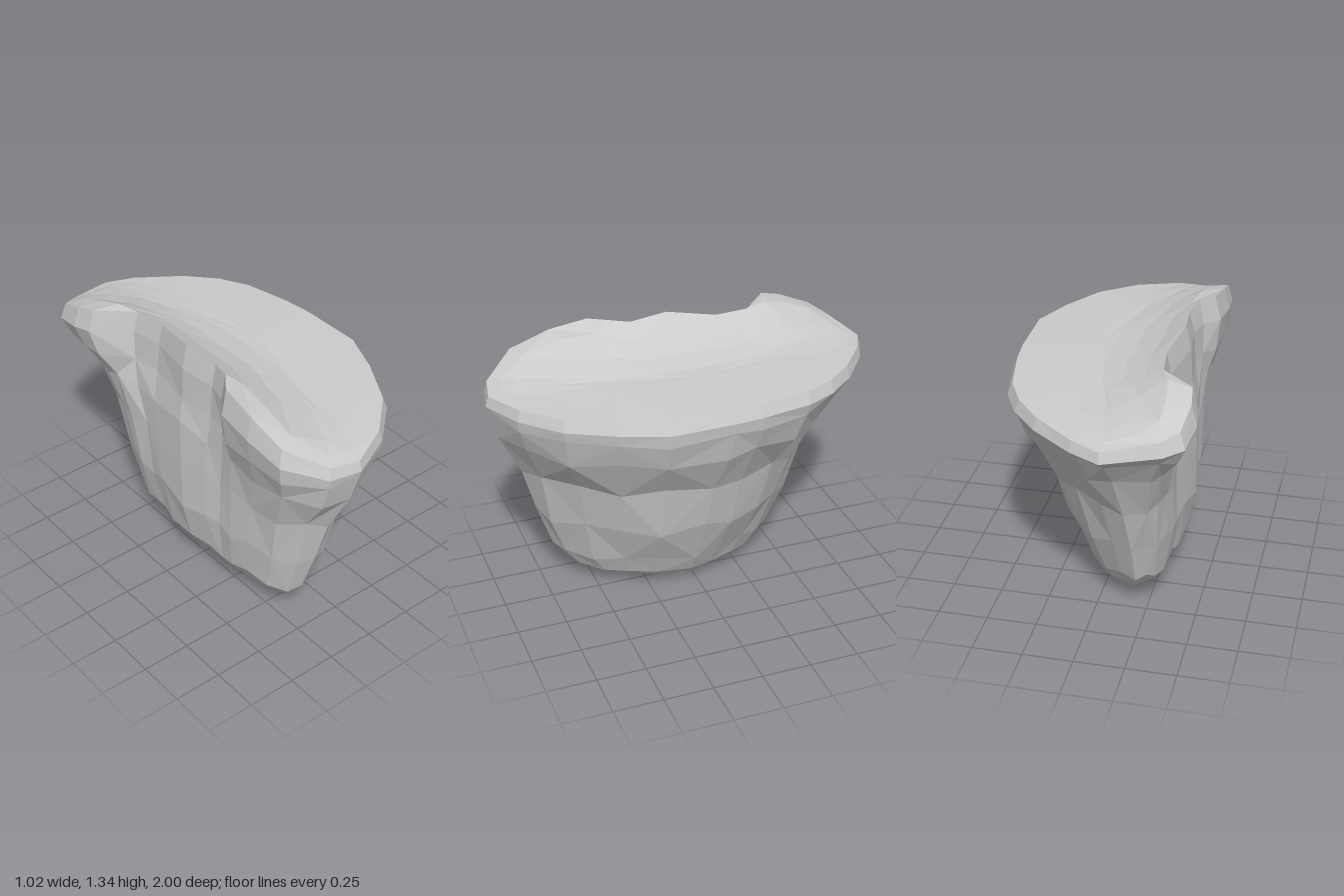
import * as THREE from 'three';

// Kidney-shaped rim and the fuller D-shaped waist, as matching [x, z] loops from the back round the left side
const rim = [[-0.13, -1], [0.02, -0.93], [0.23, -0.77], [0.36, -0.62], [0.44, -0.46], [0.49, -0.2], [0.505, -0.05],
  [0.51, 0.28], [0.42, 0.5], [0.29, 0.73], [0.1, 0.9], [-0.12, 1], [-0.28, 0.97], [-0.44, 0.81], [-0.455, 0.6],
  [-0.44, 0.4], [-0.37, 0.31], [-0.34, 0.2], [-0.36, 0], [-0.31, -0.26], [-0.33, -0.44], [-0.5, -0.59],
  [-0.515, -0.7], [-0.49, -0.86], [-0.4, -0.92]];
const waist = [[-0.2, -0.63], [-0.1, -0.6], [0.02, -0.52], [0.12, -0.42], [0.2, -0.3], [0.26, -0.13], [0.29, 0.02],
  [0.27, 0.25], [0.18, 0.42], [0.07, 0.58], [-0.07, 0.72], [-0.17, 0.77], [-0.25, 0.73], [-0.315, 0.62], [-0.35, 0.48],
  [-0.365, 0.36], [-0.36, 0.27], [-0.38, 0.18], [-0.4, 0.02], [-0.38, -0.18], [-0.36, -0.28], [-0.36, -0.38],
  [-0.345, -0.46], [-0.31, -0.55], [-0.26, -0.6]];

const lerp = THREE.MathUtils.lerp;

// Height of the top face: rises towards the hollow side, drops at both ends
function topY(x, z) {
  const rise = x < 0.08 ? Math.min(0.9 * (0.08 - x) ** 2, 0.165) : -0.03 * (x - 0.08);
  return 1.182 + rise * (1 - 1.1 * Math.abs(z) ** 3) - 0.045 * z * z;
}

// Point on the top face, pulled by t towards the curved spine of the kidney
function topPoint([x, z], t) {
  const sz = z * 0.75;
  const px = lerp(x, 0.08 - 0.35 * sz * sz, t), pz = lerp(z, sz, t);
  return [px, topY(px, pz), pz];
}

function buildRings() {
  const rings = [0.9, 0.6, 0.3, 0.06].map((t) => rim.map((p) => topPoint(p, t)));
  // Widest edge, just under the top
  rings.push(rim.map(([x, z]) => [x, lerp(1.07, topY(x, z) - 0.04, 0.6), z]));
  // Flared sides: [height, blend to waist, blend at the back, blend on the hollow side, unevenness]
  const flare = [[1.04, 0.04, 0.14, 0.25, 0.01], [0.9, 0.23, 0.4, 0.78, 0.02],
    [0.69, 0.72, 0.73, 0.95, 0.025], [0.42, 1, 1, 1, 0.025]];
  flare.forEach(([y, front, back, hollow, rough], r) => {
    rings.push(rim.map(([x, z], i) => {
      const k = lerp(front, back, THREE.MathUtils.smoothstep(-z, 0.2, 0.9));
      const inside = i > 12 ? Math.min(1, 1.6 * Math.sin(Math.PI * (i - 12) / 13)) : 0;
      return [lerp(x, waist[i][0], lerp(k, hollow, inside)), y + rough * Math.sin(i * 2.4 + r * 2),
        lerp(z, waist[i][1], k)];
    }));
  });
  // Rounded foot, tilted down to the left: [height, x scale, z scale, x centre, tilt, unevenness]
  const foot = [[0.19, 0.78, 0.88, -0.09, 0, 0.02], [0.085, 0.63, 0.77, -0.09, 0.09, 0.008],
    [0.03, 0.5, 0.6, -0.1, 0.16, 0], [0, 0.32, 0.3, -0.06, 0.18, 0]];
  for (const [y, sx, sz, cx, tilt, rough] of foot) {
    rings.push(waist.map(([wx, wz], i) => {
      const x = cx + (wx + 0.055) * sx, z = 0.075 + (wz - 0.07) * sz;
      return [x, y + tilt * Math.max(0.055 - x, 0) + rough * Math.sin(i * 1.9), z];
    }));
  }
  return rings;
}

// Fill a ring with triangles facing up (dir 1) or down (dir -1)
function capFaces(ring, offset, dir) {
  const flat = ring.map(([x, , z]) => new THREE.Vector2(x, -z));
  return THREE.ShapeUtils.triangulateShape(flat, []).flatMap(([a, b, c]) => {
    const turn = flat[b].clone().sub(flat[a]).cross(flat[c].clone().sub(flat[a]));
    return (turn * dir > 0 ? [a, b, c] : [a, c, b]).map((v) => v + offset);
  });
}

function loft(rings) {
  const n = rings[0].length, last = rings.length - 1;
  const index = [...capFaces(rings[0], 0, 1), ...capFaces(rings[last], last * n, -1)];
  for (let r = 0; r < last; r++) {
    for (let i = 0; i < n; i++) {
      const j = (i + 1) % n;
      const a = r * n + i, b = r * n + j, c = b + n, d = a + n;
      // Alternate the diagonals for an irregular, chiselled surface
      if ((i + r) % 2) index.push(a, b, c, a, c, d);
      else index.push(a, b, d, b, c, d);
    }
  }
  const geometry = new THREE.BufferGeometry();
  geometry.setAttribute('position', new THREE.Float32BufferAttribute(rings.flat(2), 3));
  geometry.setIndex(index);
  const faceted = geometry.toNonIndexed();
  faceted.computeVertexNormals();
  return faceted;
}

export function createModel() {
  const group = new THREE.Group();
  group.name = 'rock';
  const stone = new THREE.Mesh(loft(buildRings()),
    new THREE.MeshStandardMaterial({ color: 0xcccccc, flatShading: true }));
  stone.name = 'stone';
  group.add(stone);
  return group;
}
